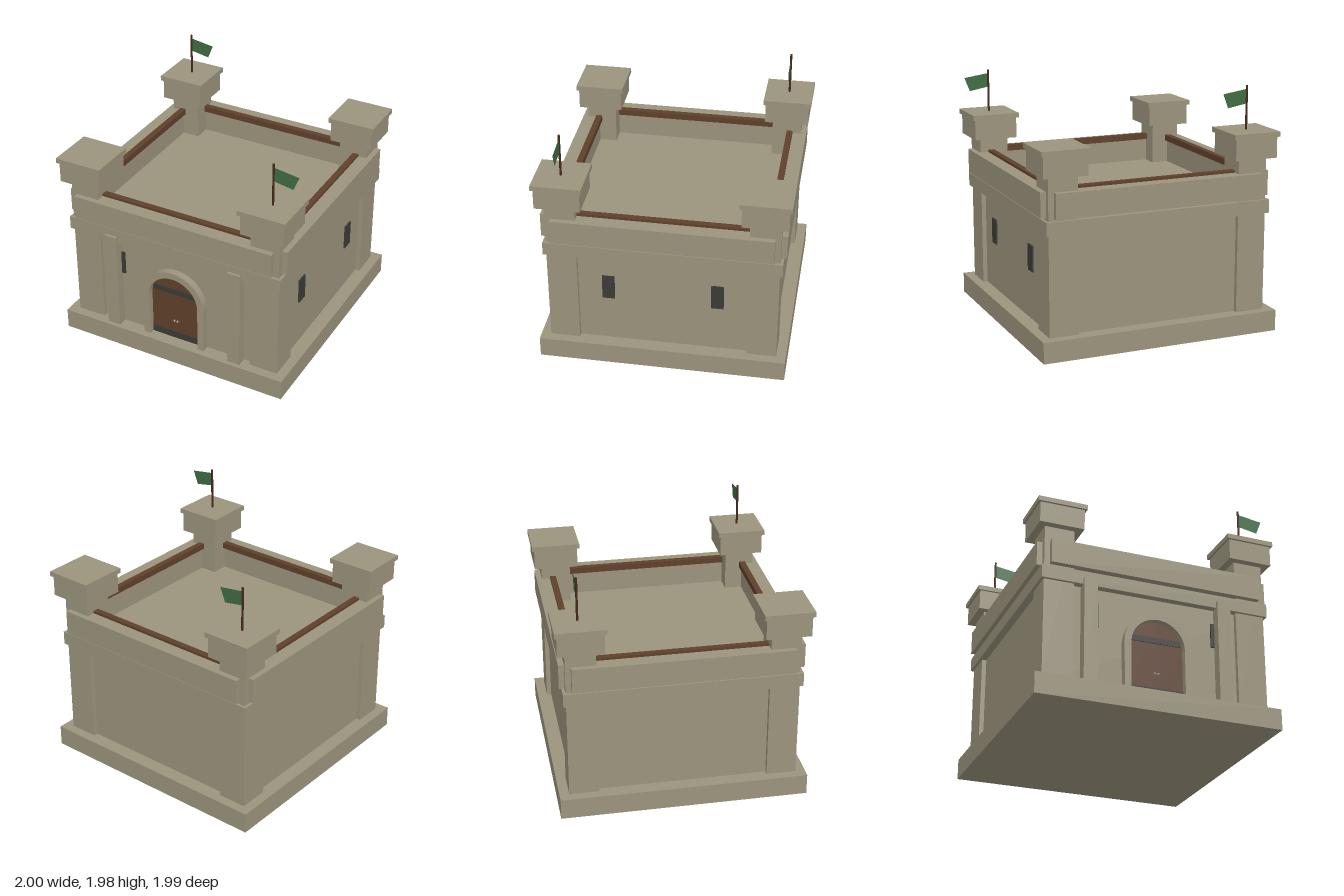
import * as THREE from 'three';

export function createModel() {
  const mat = (name, color) => {
    const m = new THREE.MeshStandardMaterial({ color });
    m.name = name;
    return m;
  };
  const stone = mat('stone', 0x9b937c);
  const wood = mat('wood', 0x5f402b);
  const iron = mat('dark iron', 0x3a3a35);
  const poleWood = mat('dark pole wood', 0x45291c);
  const cloth = mat('green cloth', 0x3f6c43);
  cloth.side = THREE.DoubleSide;
  const metal = mat('handle metal', 0xa09c90);

  const root = new THREE.Group();
  root.name = 'fort';
  const fort = new THREE.Group();
  fort.name = 'fortBody';
  fort.position.x = -0.005;
  root.add(fort);

  const add = (name, geometry, material, parent = fort) => {
    const mesh = new THREE.Mesh(geometry, material);
    mesh.name = name;
    parent.add(mesh);
    return mesh;
  };
  // Box given by its lower and upper limits on each axis
  const box = (name, material, [x0, x1], [y0, y1], [z0, z1], parent) => {
    const mesh = add(name, new THREE.BoxGeometry(x1 - x0, y1 - y0, z1 - z0), material, parent);
    mesh.position.set((x0 + x1) / 2, (y0 + y1) / 2, (z0 + z1) / 2);
    return mesh;
  };
  const sym = (h, c = 0) => [c - h, c + h];

  // Plinth, core walls and the cornice slab whose top is the roof deck
  box('plinth', stone, sym(0.995), [0, 0.17], sym(0.995));
  box('coreWalls', stone, sym(0.88), [0.17, 0.97], sym(0.88));
  box('corniceDeck', stone, sym(0.94), [0.97, 1.08], sym(0.94));

  // Corner towers with stepped caps
  for (const sx of [-1, 1]) {
    for (const sz of [-1, 1]) {
      const tower = new THREE.Group();
      tower.name = 'cornerTower';
      tower.position.set(sx * 0.797, 0, sz * 0.797);
      fort.add(tower);
      box('towerShaft', stone, sym(0.12), [0.17, 1.42], sym(0.12), tower);
      box('towerCap', stone, sym(0.18), [1.42, 1.59], sym(0.18), tower);
      box('towerSlab', stone, sym(0.198), [1.59, 1.63], sym(0.198), tower);

      // Flags fly from two opposite corners
      if (sx === sz) {
        const pole = add('flagPole', new THREE.CylinderGeometry(0.009, 0.009, 0.35, 8), poleWood, tower);
        pole.position.y = 1.805;
        const flag = new THREE.Shape([
          new THREE.Vector2(0, 1.835), new THREE.Vector2(0.163, 1.807),
          new THREE.Vector2(0.208, 1.92), new THREE.Vector2(0, 1.95),
        ]);
        add('flag', new THREE.ShapeGeometry(flag), cloth, tower);
      }
    }
  }

  // Parapet on each side: inner wall, projecting panel and timber rail
  for (let i = 0; i < 4; i++) {
    const side = new THREE.Group();
    side.name = 'parapet';
    side.rotation.y = (i * Math.PI) / 2;
    fort.add(side);
    box('parapetWall', stone, sym(0.7), [1.08, 1.3], [0.82, 0.9], side);
    box('parapetPanel', stone, sym(0.872), [1.1, 1.3], [0.89, 0.962], side);
    box('timberRail', wood, sym(0.69), [1.27, 1.32], [0.798, 0.848], side);
  }

  // Front pilasters with window slits tucked beside them
  for (const s of [-1, 1]) {
    box('pilaster', stone, sym(0.055, s * 0.553), [0.17, 1.02], [0.87, 0.962]);
    box('frontSlit', iron, sym(0.05, s * 0.517), [0.65, 0.85], [0.875, 0.893]);
  }

  // Windows on the model's left wall
  for (const z of [-0.435, 0.435]) {
    box('sideWindow', iron, [0.875, 0.893], [0.57, 0.78], sym(0.05, z));
  }

  // Arched doorway surround
  const spring = 0.555, inner = 0.22, outer = 0.275, sill = 0.17;
  const arch = new THREE.Shape();
  arch.moveTo(outer, sill);
  arch.lineTo(outer, spring);
  arch.absarc(0, spring, outer, 0, Math.PI, false);
  arch.lineTo(-outer, sill);
  arch.lineTo(-inner, sill);
  arch.lineTo(-inner, spring);
  arch.absarc(0, spring, inner, Math.PI, 0, true);
  arch.lineTo(inner, sill);
  const surround = add('doorSurround',
    new THREE.ExtrudeGeometry(arch, { depth: 0.07, bevelEnabled: false, curveSegments: 12 }), stone);
  surround.position.z = 0.87;

  // Two door leaves, each a half arch, with a small knob
  for (const s of [-1, 1]) {
    const leaf = new THREE.Shape();
    leaf.moveTo(0, sill);
    leaf.lineTo(s * inner, sill);
    leaf.lineTo(s * inner, spring);
    leaf.absarc(0, spring, inner, s > 0 ? 0 : Math.PI, Math.PI / 2, s < 0);
    add('doorLeaf', new THREE.ShapeGeometry(leaf, 12), wood).position.z = 0.888;
    const knob = add('doorKnob', new THREE.SphereGeometry(0.01, 8, 6), metal);
    knob.position.set(s * 0.014, 0.342, 0.9);
  }

  // Iron bands across the door
  box('lowerDoorBand', iron, sym(inner), [0.17, 0.23], [0.886, 0.894]);
  box('upperDoorBand', iron, sym(0.208), [0.597, 0.645], [0.886, 0.894]);

  return root;
}
